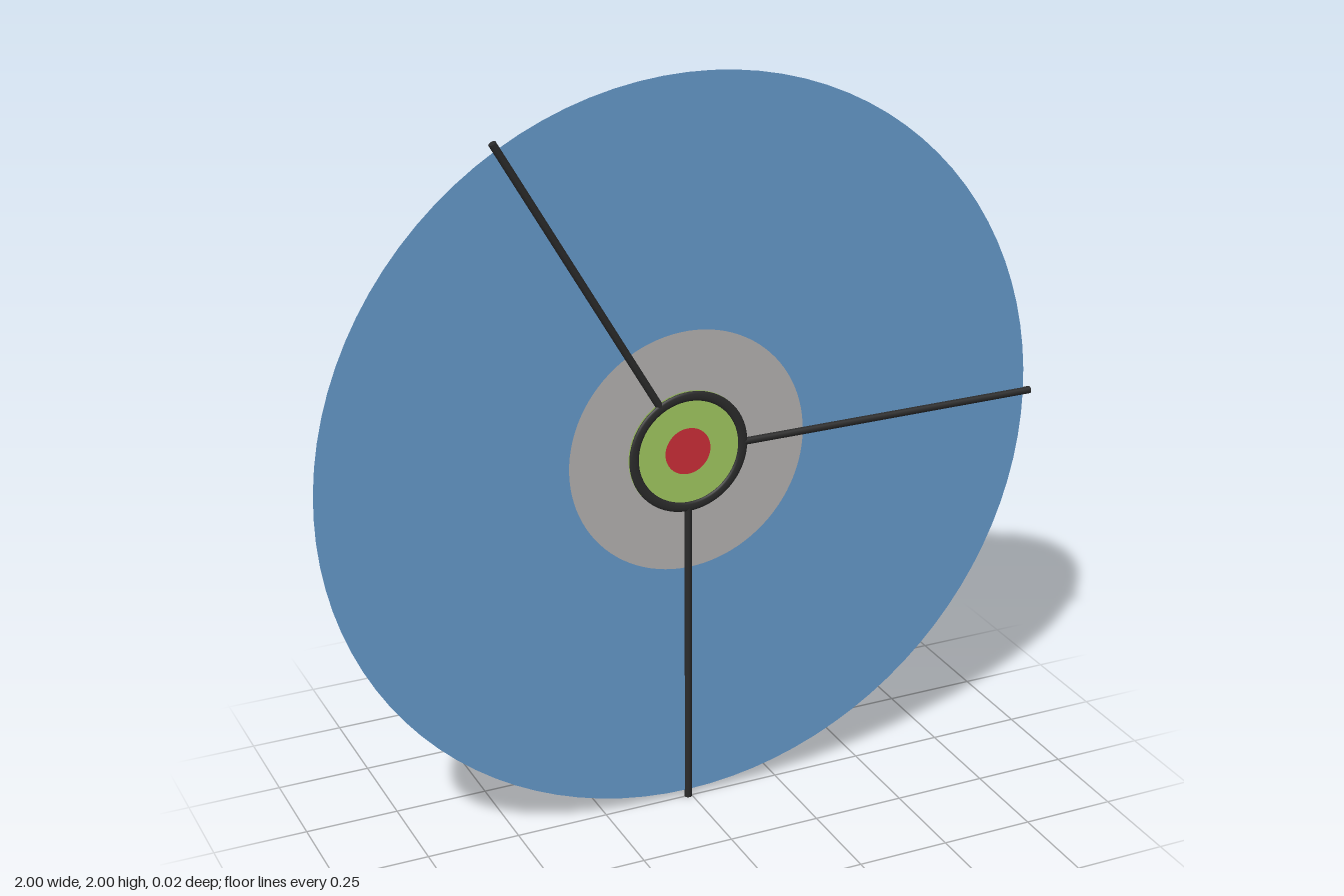
import * as THREE from 'three';

export function createModel() {
  const model = new THREE.Group();
  const target = new THREE.Group();
  target.name = 'target';
  target.position.set(-0.01, 1.01, 0);
  model.add(target);

  const add = (name, geometry, material) => {
    const mesh = new THREE.Mesh(geometry, material);
    mesh.name = name;
    target.add(mesh);
    return mesh;
  };

  // Flat concentric bands, edge to edge in one plane
  const bands = [
    ['bullseye', 0, 0.063, 0xcc2e38],
    ['innerBand', 0.063, 0.165, 0xa0c85f],
    ['middleBand', 0.165, 0.327, 0xb3b1b0],
    ['outerBand', 0.327, 0.99, 0x6598c9],
  ];
  for (const [name, inner, outer, color] of bands) {
    const geometry = inner === 0
      ? new THREE.CircleGeometry(outer, 96)
      : new THREE.RingGeometry(inner, outer, 96);
    add(name, geometry, new THREE.MeshStandardMaterial({ color, side: THREE.DoubleSide }));
  }

  const black = new THREE.MeshStandardMaterial({ color: 0x2a2a2a });

  // Flattened wire ring lying on the front of the inner band
  const ring = add('wireRing', new THREE.TorusGeometry(0.152, 0.013, 12, 72), black);
  ring.scale.z = 0.38;
  ring.position.z = 0.005;

  // Three round spokes from the wire ring to the rim
  const start = 0.157, end = 1.01;
  const names = ['leftSpoke', 'upperSpoke', 'lowerSpoke'];
  [0, 120, 270].forEach((degrees, i) => {
    const angle = THREE.MathUtils.degToRad(degrees);
    const spoke = add(names[i], new THREE.CylinderGeometry(0.01, 0.01, end - start, 16), black);
    const middle = (start + end) / 2;
    spoke.position.set(Math.cos(angle) * middle, Math.sin(angle) * middle, 0);
    spoke.rotation.z = angle - Math.PI / 2;
  });

  return model;
}
